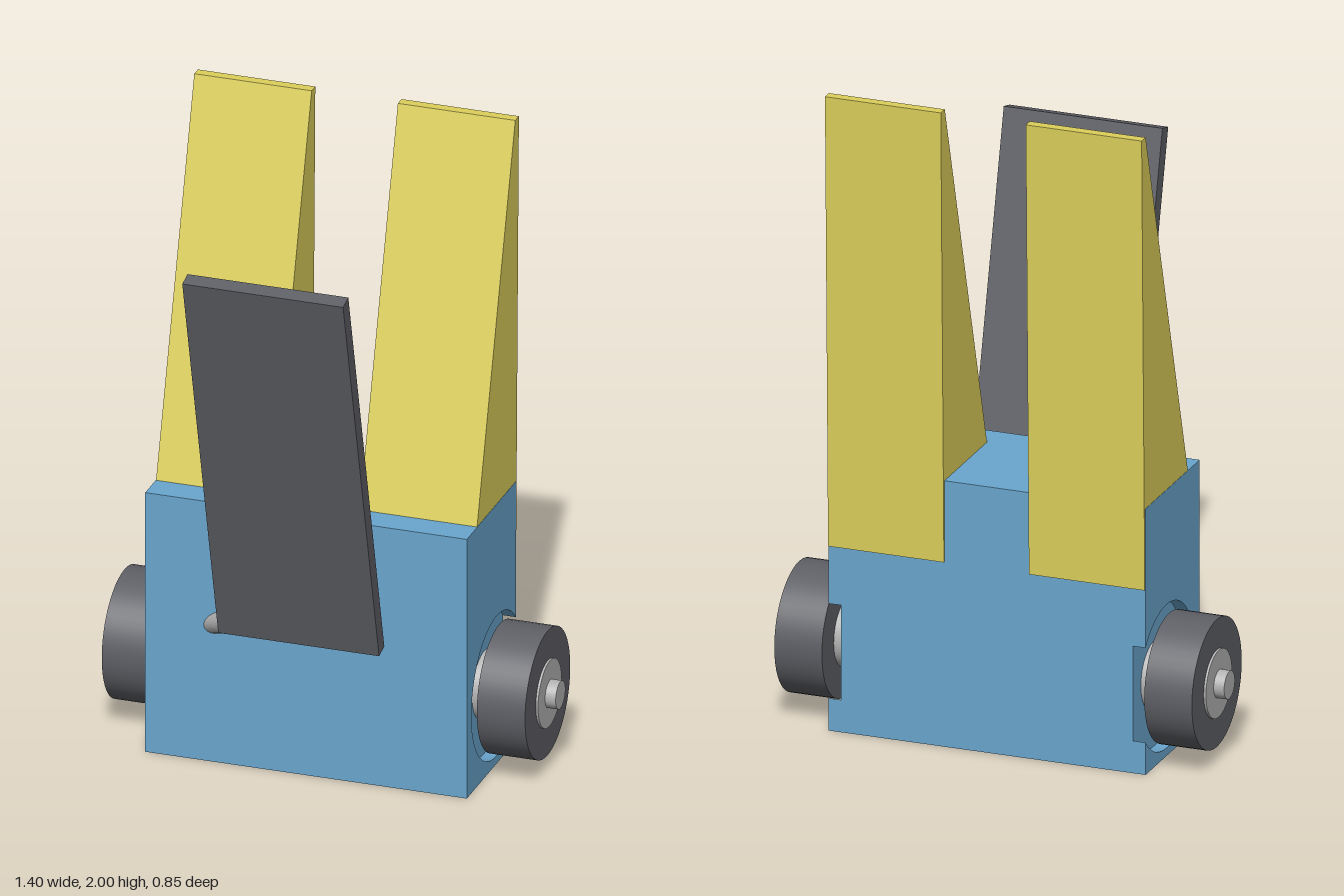
import * as THREE from 'three';

const mat = (name, color) => Object.assign(new THREE.MeshStandardMaterial({ color }), { name });

export function createModel() {
  const blue = mat('bodyBlue', 0x6aa6ce);
  const yellow = mat('wedgeYellow', 0xddd05c);
  const dark = mat('darkGrey', 0x5f6066);
  const light = mat('lightGrey', 0xb4b4b4);

  const model = new THREE.Group();
  model.name = 'wheeledRobot';
  const add = (name, geometry, material, parent = model) => {
    const mesh = new THREE.Mesh(geometry, material);
    mesh.name = name;
    parent.add(mesh);
    return mesh;
  };
  // Extrude a side profile, drawn in (-z, y), from x0 to x0 + width
  const sideExtrude = (shape, x0, width) =>
    new THREE.ExtrudeGeometry(shape, { depth: width, bevelEnabled: false, curveSegments: 48 })
      .rotateY(Math.PI / 2).translate(x0, 0, 0);

  const axleY = 0.25, axleZ = -0.223, wellR = 0.225;
  const front = 0.042, back = -0.392, top = 0.835, wellDepth = 0.04;

  // Body core; its sides form the floors of the wheel wells
  add('bodyCore', new THREE.BoxGeometry(1 - 2 * wellDepth, top, front - back)
    .translate(0, top / 2, (front + back) / 2), blue);

  // Body side with a round wheel well that breaks out at the back
  const a = Math.acos((axleZ - back) / wellR);
  const side = new THREE.Shape();
  side.moveTo(-front, 0);
  side.lineTo(-back, 0);
  side.absarc(-axleZ, axleY, wellR, -a, a, true);
  side.lineTo(-back, top);
  side.lineTo(-front, top);
  side.closePath();

  // Tall wedge, sunk into the body
  const wedge = new THREE.Shape([[-0.023, 0.58], [0.396, 0.58], [0.421, 2], [0.389, 2]]
    .map(([u, v]) => new THREE.Vector2(u, v)));

  for (const s of [1, -1]) {
    const label = s > 0 ? 'left' : 'right';
    add(label + 'BodySide', sideExtrude(side, s > 0 ? 0.5 - wellDepth : -0.5, wellDepth), blue);
    add(label + 'Wedge', sideExtrude(wedge, s > 0 ? 0.134 : -0.499, 0.365), yellow);

    // Wheel with hub and axle
    const wheel = new THREE.Group();
    wheel.name = label + 'Wheel';
    model.add(wheel);
    const disc = (name, r, x0, x1, material) =>
      add(name, new THREE.CylinderGeometry(r, r, x1 - x0, 48).rotateZ(Math.PI / 2)
        .translate(s * (x0 + x1) / 2, axleY, axleZ), material, wheel);
    disc('tyre', 0.2, 0.508, 0.658, dark);
    disc('hub', 0.105, 0.45, 0.665, light);
    disc('axle', 0.043, 0.45, 0.698, light);
  }

  // Leaning front panel
  const panel = add('frontPanel', new THREE.BoxGeometry(0.5, 1.3, 0.048), dark);
  panel.position.set(0, 1.085, 0.243);
  panel.rotation.x = Math.atan2(0.318, 1.26);

  // Slanted peg joining the panel to the body
  const p0 = new THREE.Vector3(-0.34, 0.415, -0.02);
  const p1 = new THREE.Vector3(-0.235, 0.468, 0.07);
  const dir = p1.clone().sub(p0);
  const peg = add('panelPeg', new THREE.CylinderGeometry(0.033, 0.033, dir.length(), 24), light);
  peg.position.copy(p0).add(p1).multiplyScalar(0.5);
  peg.quaternion.setFromUnitVectors(new THREE.Vector3(0, 1, 0), dir.normalize());

  return model;
}
